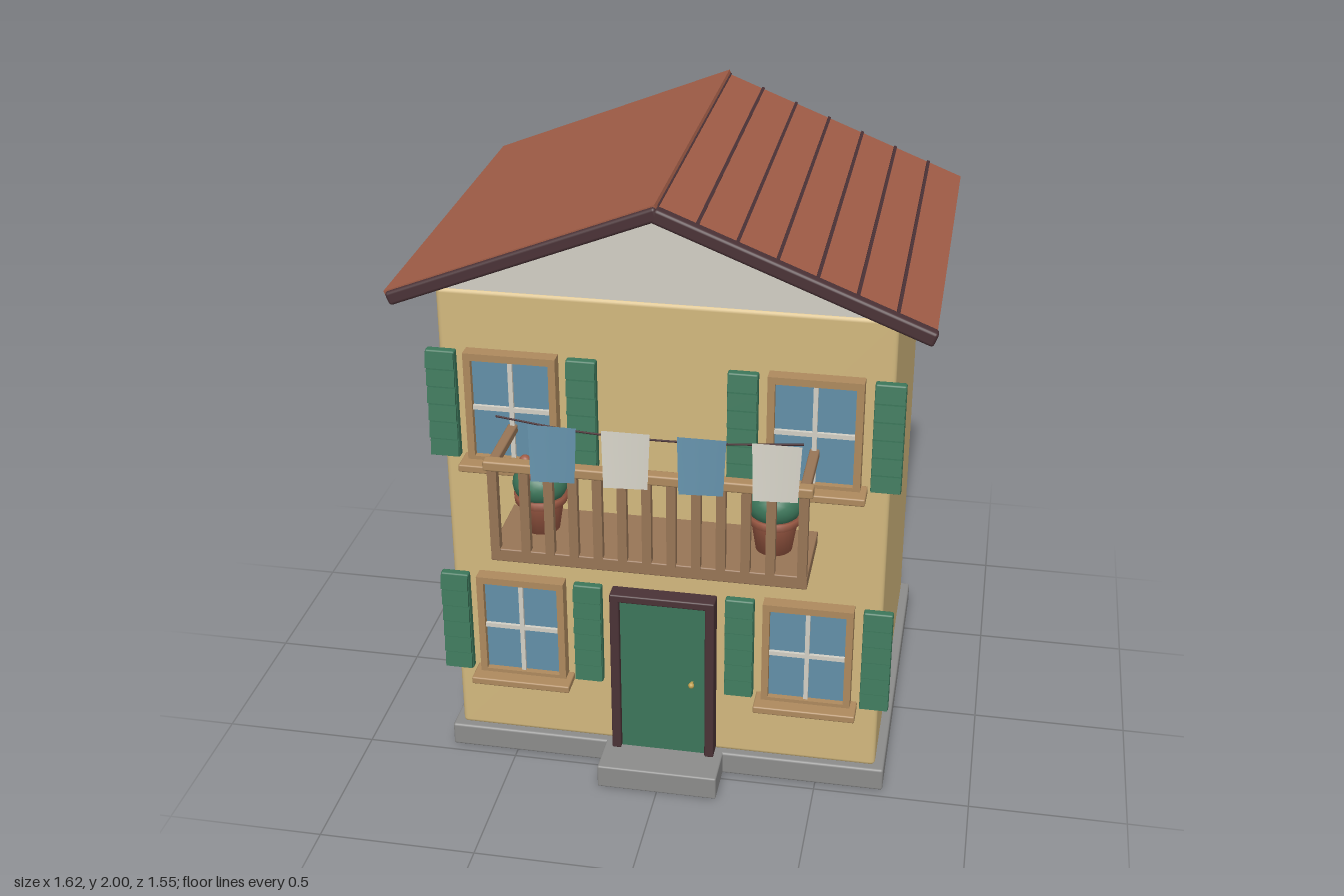
import * as THREE from 'three';
import { RoundedBoxGeometry } from 'three/addons/geometries/RoundedBoxGeometry.js';

const paint = (name, color) => Object.assign(new THREE.MeshStandardMaterial({ color }), { name });

export function createModel() {
  const wall = paint('ochre wall', 0xd2b87e);
  const stone = paint('grey stone', 0x8c8c8b);
  const tile = paint('terracotta', 0xa05c46);
  const trim = paint('dark trim', 0x4a3236);
  const lightWood = paint('light wood', 0xae8a5e);
  const wood = paint('balcony wood', 0x987556);
  const green = paint('green', 0x3c765a);
  const glass = paint('blue', 0x638fa8);
  const cream = paint('cream', 0xd2cfc4);
  const brass = paint('brass', 0xc0a050);
  const clothBlue = glass.clone();
  clothBlue.side = THREE.DoubleSide;
  const clothCream = cream.clone();
  clothCream.side = THREE.DoubleSide;

  const house = new THREE.Group();
  house.name = 'house';

  const add = (parent, name, geo, mat, x = 0, y = 0, z = 0) => {
    const m = new THREE.Mesh(geo, mat);
    m.name = name;
    m.position.set(x, y, z);
    parent.add(m);
    return m;
  };
  // Box given by its limits on each axis, optionally with rounded edges
  const box = (parent, name, mat, [x0, x1], [y0, y1], [z0, z1], r = 0) => {
    const s = [x1 - x0, y1 - y0, z1 - z0];
    const geo = r ? new RoundedBoxGeometry(...s, 2, r) : new THREE.BoxGeometry(...s);
    return add(parent, name, geo, mat, (x0 + x1) / 2, (y0 + y1) / 2, (z0 + z1) / 2);
  };
  const group = (parent, name, x = 0, y = 0, z = 0) => {
    const g = new THREE.Group();
    g.name = name;
    g.position.set(x, y, z);
    parent.add(g);
    return g;
  };

  // Base, step and walls
  box(house, 'foundation', stone, [-0.72, 0.72], [0, 0.08], [-0.69, 0.47], 0.008);
  box(house, 'doorStep', stone, [-0.195, 0.195], [0, 0.08], [0.4, 0.61], 0.006);
  box(house, 'walls', wall, [-0.69, 0.69], [0.075, 1.655], [-0.66, 0.445], 0.015);

  // Gable prism under the roof
  const gable = new THREE.Shape([[-0.685, 1.65], [0.685, 1.65], [0, 1.955]].map(p => new THREE.Vector2(...p)));
  add(house, 'gable', new THREE.ExtrudeGeometry(gable, { depth: 1.09, bevelEnabled: false }), cream, 0, 0, -0.652);

  // Roof: each slope is built along x from the ridge, then tilted
  const roof = group(house, 'roof');
  const pitch = 0.376;
  const left = group(roof, 'leftSlope', 0, 2, 0);
  left.rotation.z = pitch;
  box(left, 'leftSlab', tile, [-0.87, 0], [-0.035, 0], [-0.775, 0.555]);
  box(left, 'leftFascia', trim, [-0.868, 0], [-0.047, -0.004], [0.53, 0.567], 0.01);
  const right = group(roof, 'rightSlope', 0, 1.985, 0);
  right.rotation.z = -pitch;
  box(right, 'rightSlab', tile, [0, 0.862], [-0.035, 0], [-0.775, 0.555]);
  box(right, 'rightFascia', trim, [0, 0.867], [-0.038, 0.007], [0.527, 0.567], 0.01);
  for (let i = 0; i < 7; i++) {
    const x = 0.002 + i * 0.123;
    box(right, 'roofSeam', trim, [x - 0.005, x + 0.005], [-0.004, 0.006], [-0.773, 0.53]);
  }

  // Window with frame, glazing bars, sill and a shutter on each side
  const frameShape = new THREE.Shape();
  frameShape.moveTo(-0.142, 0).lineTo(0.142, 0).lineTo(0.142, 0.36).lineTo(-0.142, 0.36).closePath();
  const hole = new THREE.Path();
  hole.moveTo(-0.12, 0.015).lineTo(-0.12, 0.337).lineTo(0.12, 0.337).lineTo(0.12, 0.015).closePath();
  frameShape.holes.push(hole);
  const frameGeo = new THREE.ExtrudeGeometry(frameShape, { depth: 0.045, bevelEnabled: false });

  function shutter(parent, x) {
    const s = group(parent, 'shutter', x, 0, 0);
    box(s, 'shutterPanel', green, [-0.046, 0.046], [-0.002, 0.357], [0.005, 0.034], 0.006);
    for (let i = 0; i < 6; i++) {
      const slat = box(s, 'shutterSlat', green, [-0.044, 0.044], [0.006 + i * 0.059, 0.056 + i * 0.059], [0.03, 0.042]);
      slat.rotation.x = -0.16;
    }
  }
  function windowUnit(x, y) {
    const w = group(house, 'window', x, y, 0.445);
    add(w, 'windowFrame', frameGeo, lightWood);
    box(w, 'windowGlass', glass, [-0.121, 0.121], [0.012, 0.34], [0, 0.025]);
    box(w, 'verticalBar', cream, [-0.007, 0.007], [0.014, 0.338], [0.02, 0.036]);
    box(w, 'horizontalBar', cream, [-0.12, 0.12], [0.17, 0.184], [0.02, 0.036]);
    box(w, 'windowSill', lightWood, [-0.162, 0.162], [-0.022, 0.003], [0, 0.09], 0.005);
    shutter(w, -0.217);
    shutter(w, 0.217);
  }
  for (const x of [-0.461, 0.461]) for (const y of [0.322, 1.107]) windowUnit(x, y);

  // Front door
  const door = group(house, 'door');
  box(door, 'doorLeaf', green, [-0.142, 0.142], [0.08, 0.648], [0.44, 0.48]);
  for (const x of [-0.153, 0.153]) box(door, 'doorJamb', trim, [x - 0.015, x + 0.015], [0.08, 0.668], [0.44, 0.5], 0.005);
  box(door, 'doorLintel', trim, [-0.168, 0.168], [0.643, 0.67], [0.44, 0.5], 0.005);
  add(door, 'doorKnob', new THREE.SphereGeometry(0.01, 12, 8), brass, 0.095, 0.355, 0.497);
  box(door, 'knobStem', brass, [0.091, 0.099], [0.351, 0.359], [0.478, 0.492]);

  // Balcony with railing
  const balcony = group(house, 'balcony');
  box(balcony, 'balconyFloor', wood, [-0.478, 0.478], [0.893, 0.936], [0.44, 0.715], 0.004);
  box(balcony, 'frontRail', lightWood, [-0.488, 0.488], [1.203, 1.235], [0.685, 0.725], 0.006);
  for (const x of [-0.462, 0.462]) {
    box(balcony, 'sideRail', wood, [x - 0.015, x + 0.015], [1.205, 1.232], [0.44, 0.69], 0.005);
    box(balcony, 'cornerPost', wood, [x - 0.014, x + 0.014], [0.93, 1.21], [0.692, 0.72]);
  }
  for (let i = -5; i <= 5; i++) {
    const x = i * 0.0735;
    box(balcony, 'baluster', wood, [x - 0.014, x + 0.014], [0.93, 1.21], [0.693, 0.717]);
  }

  // Potted plants
  const potGeo = new THREE.LatheGeometry([
    [0, 0], [0.055, 0], [0.07, 0.095], [0.08, 0.095], [0.082, 0.12], [0.07, 0.12], [0.066, 0.105], [0, 0.105],
  ].map(p => new THREE.Vector2(...p)), 24);
  const leafGeo = new THREE.IcosahedronGeometry(0.085, 3);
  const bloomGeo = new THREE.SphereGeometry(0.019, 10, 8);
  for (const x of [-0.358, 0.358]) {
    const plant = group(balcony, 'pottedPlant', x, 0.936, 0.558);
    add(plant, 'pot', potGeo, tile);
    add(plant, 'foliage', leafGeo, green, 0, 0.155, 0).scale.y = 0.8;
    for (let i = 0; i < 7; i++) {
      const a = i * Math.PI * 2 / 7;
      add(plant, 'flower', bloomGeo, tile, 0.058 * Math.cos(a), 0.208, 0.058 * Math.sin(a));
    }
  }

  // Washing line and hanging cloths
  const laundry = group(house, 'laundry');
  const rope = new THREE.CatmullRomCurve3([[-0.43, 1.402], [-0.2, 1.375], [0.02, 1.367], [0.24, 1.373], [0.46, 1.392]]
    .map(([x, y]) => new THREE.Vector3(x, y, 0.75)));
  add(laundry, 'rope', new THREE.TubeGeometry(rope, 24, 0.003, 6), trim);
  [-0.265, -0.05, 0.17, 0.385].forEach((x, i) => {
    const geo = new THREE.PlaneGeometry(0.142, 0.175, 8, 4);
    const p = geo.attributes.position;
    for (let k = 0; k < p.count; k++) {
      const down = 0.5 - p.getY(k) / 0.175;
      p.setZ(k, down * (0.013 - 0.07 * p.getX(k)));
      p.setX(k, p.getX(k) * (1 - 0.1 * down));
    }
    geo.computeVertexNormals();
    add(laundry, 'hangingCloth', geo, i % 2 ? clothCream : clothBlue, x, 1.297, 0.753);
  });

  return house;
}
